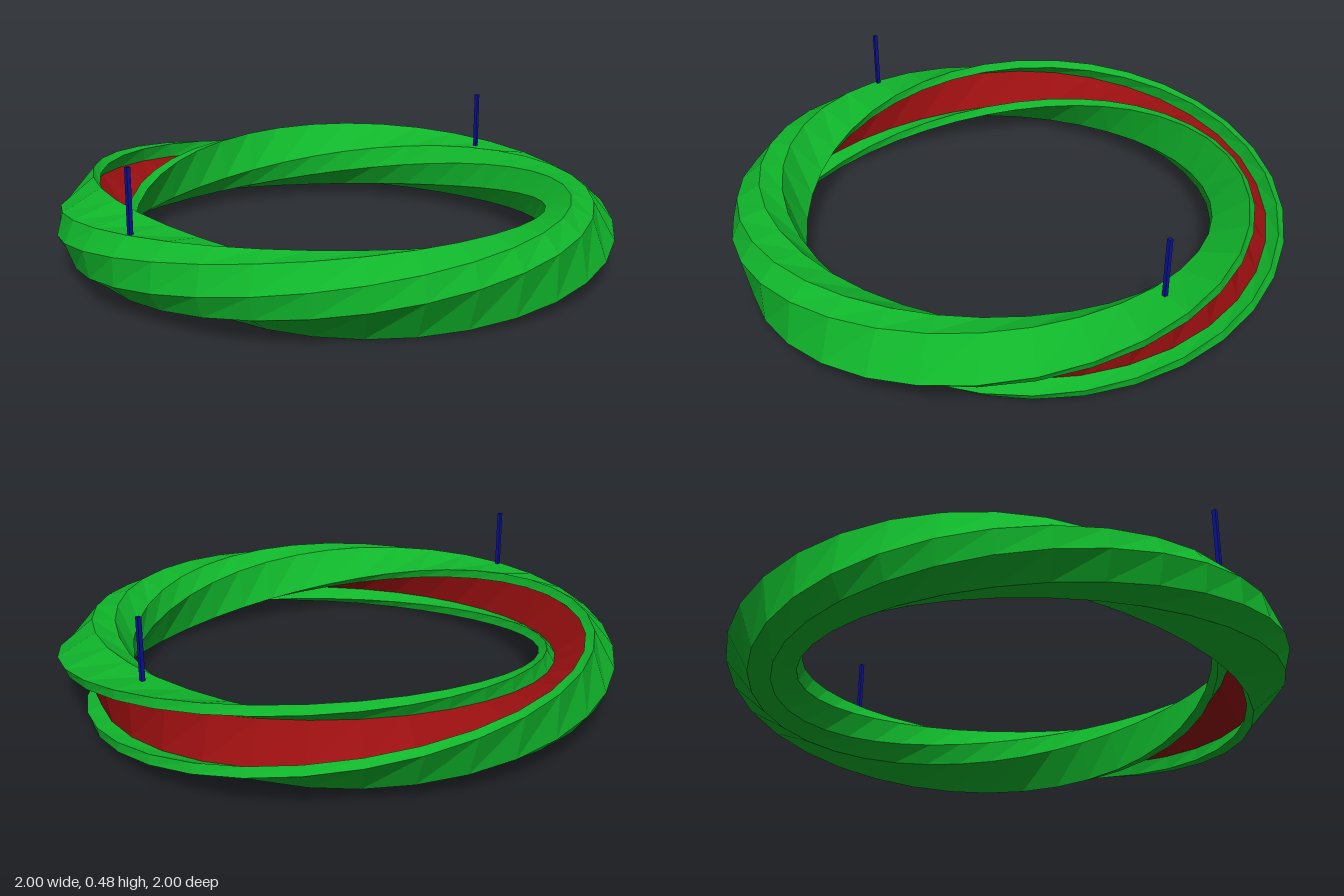
import * as THREE from 'three';

const RADIUS = 0.89, MID_Y = 0.16, SEGMENTS = 36;
const H = 0.11;       // half size of the square section
const BEVEL = 0.06;   // bevel on the two corners away from the channel
const LIP = 0.035;    // lip width beside the channel
const DEPTH = 0.055;  // channel depth

// Sweeps a section strip (u across, v towards the channel opening) round the ring with one full twist
function twistedStrip(name, profile, color) {
  const positions = [], indices = [], n = profile.length;
  for (let i = 0; i <= SEGMENTS; i++) {
    const t = (i / SEGMENTS) * Math.PI * 2, c = Math.cos(t), s = Math.sin(t);
    for (const [u, v] of profile) {
      const r = RADIUS + u * c + v * s;
      positions.push(r * s, MID_Y + u * s - v * c, r * c);
    }
  }
  for (let i = 0; i < SEGMENTS; i++) {
    for (let j = 0; j < n - 1; j++) {
      const a = i * n + j, b = a + n;
      indices.push(a, b, b + 1, a, b + 1, a + 1);
    }
  }
  const geometry = new THREE.BufferGeometry();
  geometry.setAttribute('position', new THREE.Float32BufferAttribute(positions, 3));
  geometry.setIndex(indices);
  geometry.computeVertexNormals();
  const mesh = new THREE.Mesh(geometry, new THREE.MeshStandardMaterial({ color, flatShading: true }));
  mesh.name = name;
  return mesh;
}

export function createModel() {
  const group = new THREE.Group();
  group.name = 'twistedRing';

  // Ring body: channel walls, lips, sides and bevelled back
  group.add(twistedStrip('ringBody', [
    [H - LIP, H - DEPTH], [H - LIP, H], [H, H], [H, -H + BEVEL], [H - BEVEL, -H],
    [-H + BEVEL, -H], [-H, -H + BEVEL], [-H, H], [-H + LIP, H], [-H + LIP, H - DEPTH],
  ], 0x10b52b));

  // Floor of the channel
  group.add(twistedStrip('channelFloor', [[-H + LIP, H - DEPTH], [H - LIP, H - DEPTH]], 0x990f10));

  // Thin upright pins on either side
  for (const [name, x] of [['leftPin', 0.89], ['rightPin', -0.925]]) {
    const pin = new THREE.Mesh(
      new THREE.BoxGeometry(0.014, 0.23, 0.014),
      new THREE.MeshStandardMaterial({ color: 0x0a1299 })
    );
    pin.position.set(x, 0.375, 0);
    pin.name = name;
    group.add(pin);
  }
  return group;
}
